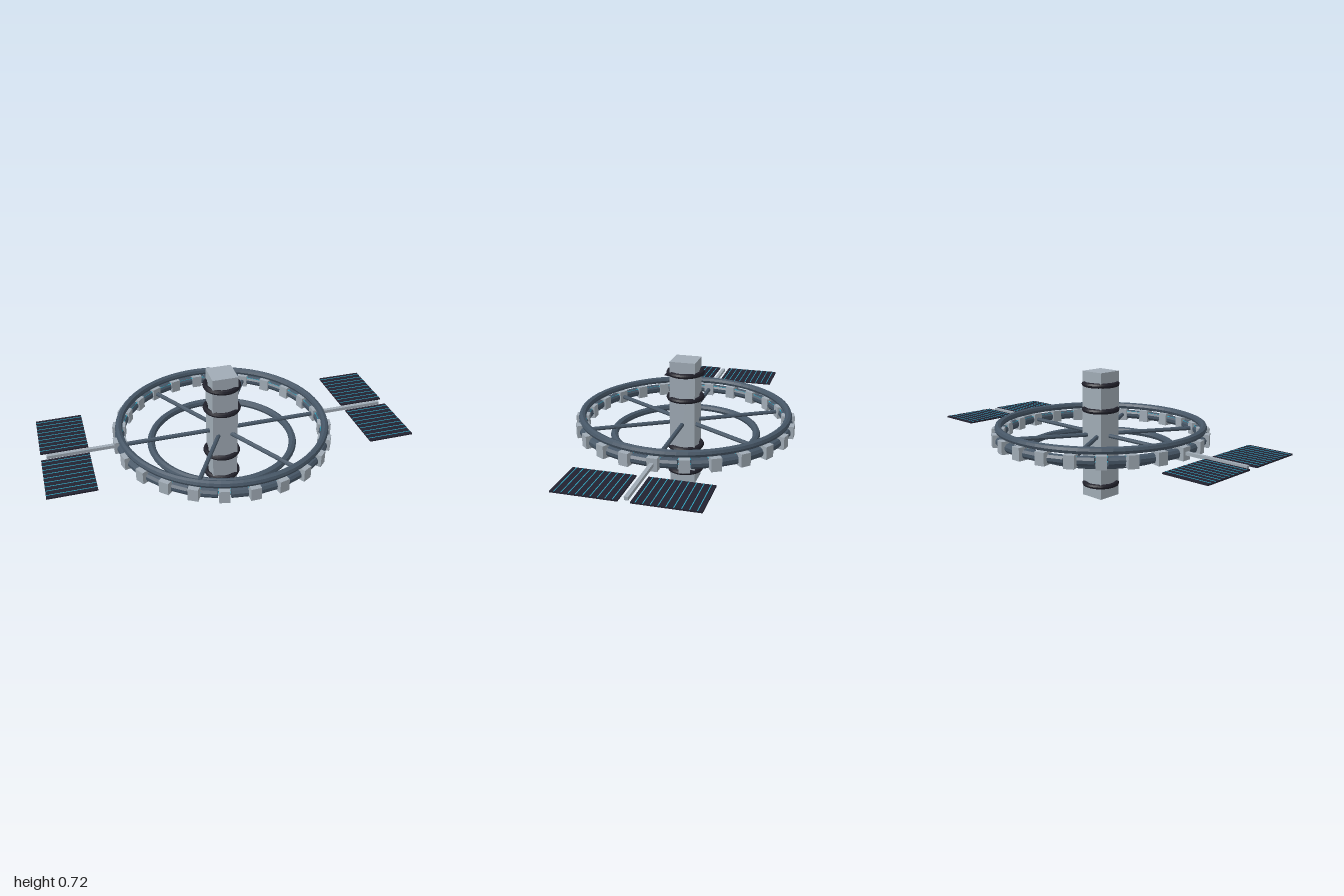
import * as THREE from 'three';

const paint = (name, color, flatShading = false) => {
  const m = new THREE.MeshStandardMaterial({ color, flatShading });
  m.name = name;
  return m;
};

export function createModel() {
  const hull = paint('pale hull grey', 0xa0abb5);
  const steel = paint('blue steel', 0x465666, true);
  const black = paint('band black', 0x20202a, true);
  const panelDark = paint('panel navy', 0x222230);
  const cyan = paint('cell cyan', 0x2fa8c4);

  const station = new THREE.Group();
  station.name = 'spaceStation';
  const MID = 0.358;

  const add = (name, geometry, material, x = 0, y = 0, z = 0, parent = station) => {
    const mesh = new THREE.Mesh(geometry, material);
    mesh.name = name;
    mesh.position.set(x, y, z);
    parent.add(mesh);
    return mesh;
  };
  const ring = (name, radius, tube, y, material, sides = 8) =>
    add(name, new THREE.TorusGeometry(radius, tube, sides, 64).rotateX(Math.PI / 2), material, 0, y);

  // Central core with four bands
  add('core', new THREE.BoxGeometry(0.143, 0.716, 0.143), hull, 0, MID, 0);
  for (const y of [0.073, 0.216, 0.502, 0.645]) ring('coreBand', 0.091, 0.0145, y, black);

  // Large upper ring, smaller lower ring, and light strips behind the modules
  ring('outerRing', 0.572, 0.02, 0.411, steel);
  ring('innerRing', 0.4, 0.021, 0.289, steel);
  for (const y of [0.352, 0.378]) ring('lightStrip', 0.562, 0.0235 - Math.abs(y - 0.365), y, cyan, 6).scale.y = 0.25;

  // Habitat modules joined by short tubes
  const moduleGeo = new THREE.BoxGeometry(0.07, 0.07, 0.055);
  const linkGeo = new THREE.CylinderGeometry(0.027, 0.027, 0.085, 10).rotateX(Math.PI / 2);
  const COUNT = 24;
  for (let i = 0; i < COUNT; i++) {
    const sector = new THREE.Group();
    sector.name = 'habitatSector';
    sector.rotation.y = (i / COUNT) * Math.PI * 2;
    station.add(sector);
    add('module', moduleGeo, hull, 0.575, MID, 0, sector);
    const half = Math.PI / COUNT;
    const link = add('moduleLink', linkGeo, steel, 0.57 * Math.cos(half), MID, -0.57 * Math.sin(half), sector);
    link.rotation.y = half;
  }

  // Six spokes from core to ring
  const spokeGeo = new THREE.CylinderGeometry(0.012, 0.012, 0.52, 8).rotateZ(Math.PI / 2);
  for (let i = 0; i < 6; i++) {
    const arm = new THREE.Group();
    arm.name = 'spokeArm';
    arm.rotation.y = (i * Math.PI) / 3;
    station.add(arm);
    add('spoke', spokeGeo, steel, 0.3, MID, 0, arm);
  }

  // Solar wings on both sides
  const boomGeo = new THREE.BoxGeometry(0.38, 0.018, 0.02);
  const panelGeo = new THREE.BoxGeometry(0.255, 0.008, 0.325);
  const stripGeo = new THREE.BoxGeometry(0.255, 0.002, 0.004);
  for (const side of [-1, 1]) {
    add('boom', boomGeo, hull, side * 0.78, MID + 0.002, 0);
    for (const end of [-1, 1]) {
      const panel = add('solarPanel', panelGeo, panelDark, side * 0.8725, MID + 0.002, end * 0.1925);
      for (let i = -4; i <= 4; i++) add('cellStrip', stripGeo, cyan, 0, 0.0042, i * 0.035, panel);
    }
  }
  return station;
}
